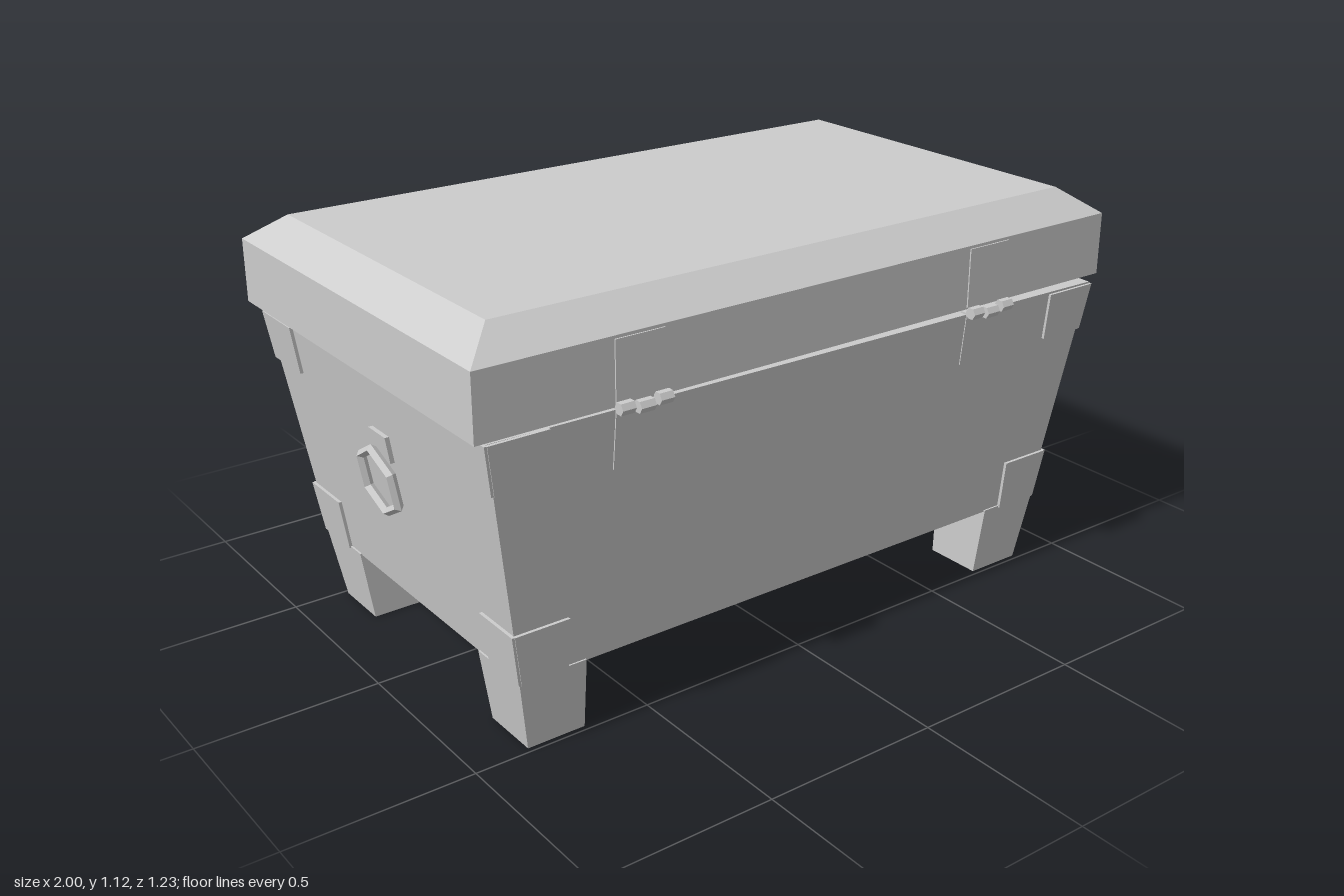
import * as THREE from 'three';

const gray = new THREE.MeshStandardMaterial({ color: 0xcccccc });
gray.name = 'plain gray';

// Outer faces of the tapered body at height y
const sideX = (y) => 0.87 + (y - 0.2) * 0.15;
const frontZ = (y) => 0.505 + (y - 0.2) * 0.1;
const backZ = (y) => -0.517 - (y - 0.2) * 0.1;

function add(parent, name, geometry, x = 0, y = 0, z = 0) {
  const mesh = new THREE.Mesh(geometry, gray);
  mesh.name = name;
  mesh.position.set(x, y, z);
  parent.add(mesh);
  return mesh;
}

// Six-sided block between two rectangles [x0, x1, z0, z1]; tweak(v) may shift a corner
function block(y0, r0, y1, r1, tweak) {
  const geo = new THREE.BoxGeometry(1, 1, 1).toNonIndexed();
  const p = geo.attributes.position;
  const v = new THREE.Vector3();
  for (let i = 0; i < p.count; i++) {
    const top = p.getY(i) > 0;
    const r = top ? r1 : r0;
    v.set(p.getX(i) < 0 ? r[0] : r[1], top ? y1 : y0, p.getZ(i) < 0 ? r[2] : r[3]);
    if (tweak) tweak(v);
    p.setXYZ(i, v.x, v.y, v.z);
  }
  geo.computeVertexNormals();
  return geo;
}

const span = (a, b) => [Math.min(a, b), Math.max(a, b)];

export function createModel() {
  const chest = new THREE.Group();
  chest.name = 'chest';

  // Tapered body, its front left corner slightly low under the lid
  const bodyRect = (y) => [-sideX(y), sideX(y), backZ(y), frontZ(y)];
  add(chest, 'body', block(0.2, bodyRect(0.2), 0.873, bodyRect(0.873), (v) => {
    if (v.y > 0.5 && v.x > 0 && v.z > 0) v.y = 0.857;
  }));

  // Lid with a straight rim and a bevelled top; the back edge runs slightly askew
  const askew = (v) => { if (v.z < 0) v.z += v.x * 0.008; };
  const rim = [-1, 1, -0.612, 0.572];
  add(chest, 'lidRim', block(0.876, rim, 1.05, rim, askew));
  add(chest, 'lidTop', block(1.05, rim, 1.12, [-0.905, 0.905, -0.523, 0.48], askew));

  for (const sx of [-1, 1]) {
    for (const sz of [-1, 1]) {
      const wallZ = (y) => (sz > 0 ? frontZ(y) : -backZ(y));

      // Tapered foot
      add(chest, 'foot', block(
        0, [...span(sx * 0.68, sx * 0.845), ...span(sz * 0.317, sz * 0.485)],
        0.205, [...span(sx * 0.685, sx * 0.876), ...span(sz * 0.317, sz * (wallZ(0.2) + 0.005))]));

      // Corner plates, one on each wall, at the top and the bottom
      const drop = sx * sz > 0 ? 0.02 : 0;
      for (const [y0, y1, inX, inZ] of [[0.2, 0.345, 0.74, 0.375], [0.74 - drop, 0.872 - drop, 0.81, 0.42]]) {
        const across = (y) => [...span(sx * inX, sx * (sideX(y) + 0.002)),
          ...span(sz * (wallZ(y) - 0.02), sz * (wallZ(y) + 0.009))];
        const along = (y) => [...span(sx * (sideX(y) - 0.02), sx * (sideX(y) + 0.009)),
          ...span(sz * inZ, sz * (wallZ(y) + 0.007))];
        add(chest, 'cornerPlate', block(y0, across(y0), y1, across(y1)));
        add(chest, 'cornerPlateSide', block(y0, along(y0), y1, along(y1)));
      }
    }

    // Six-sided ring handle leaning with the wall, hung from a small bracket
    const ringGeo = new THREE.TorusGeometry(0.092, 0.013, 4, 6).toNonIndexed();
    ringGeo.rotateZ(Math.PI / 2).rotateY(Math.PI / 2);
    ringGeo.computeVertexNormals();
    const ring = add(chest, 'ringHandle', ringGeo, sx * 0.957, 0.572, 0.008);
    ring.rotation.z = -sx * 0.17;
    const bracket = (y) => [...span(sx * (sideX(y) - 0.02), sx * (sideX(y) + 0.012)), -0.035, 0.052];
    add(chest, 'ringBracket', block(0.63, bracket(0.63), 0.702, bracket(0.702)));

    // Front clasp: lid plate, body plate and a three-part barrel
    const x = sx * 0.56;
    const y = sx > 0 ? 0.866 : 0.875;
    const lidPlate = [x - 0.07, x + 0.07, 0.56, 0.576];
    add(chest, 'claspLidPlate', block(0.88, lidPlate, 1.042, lidPlate));
    const bodyPlate = (h) => [x - 0.07, x + 0.07, frontZ(h) - 0.02, frontZ(h) + 0.004];
    add(chest, 'claspBodyPlate', block(0.715, bodyPlate(0.715), y, bodyPlate(y)));
    for (let i = -1; i <= 1; i++) {
      const barrel = new THREE.CylinderGeometry(0.017, 0.017, i ? 0.038 : 0.042, 6).toNonIndexed();
      barrel.rotateZ(Math.PI / 2);
      barrel.computeVertexNormals();
      add(chest, 'claspBarrel', barrel, x + i * 0.054, y + (i ? 0.003 : -0.004), 0.59);
    }
  }

  // Thin eight-sided plate on the back wall
  const disc = new THREE.CylinderGeometry(0.12, 0.12, 0.02, 8).toNonIndexed();
  disc.rotateY(Math.PI / 8).rotateX(Math.PI / 2);
  disc.computeVertexNormals();
  const backPlate = add(chest, 'backPlate', disc, 0, 0.615, backZ(0.615) - 0.002);
  backPlate.rotation.x = -0.1;

  return chest;
}
